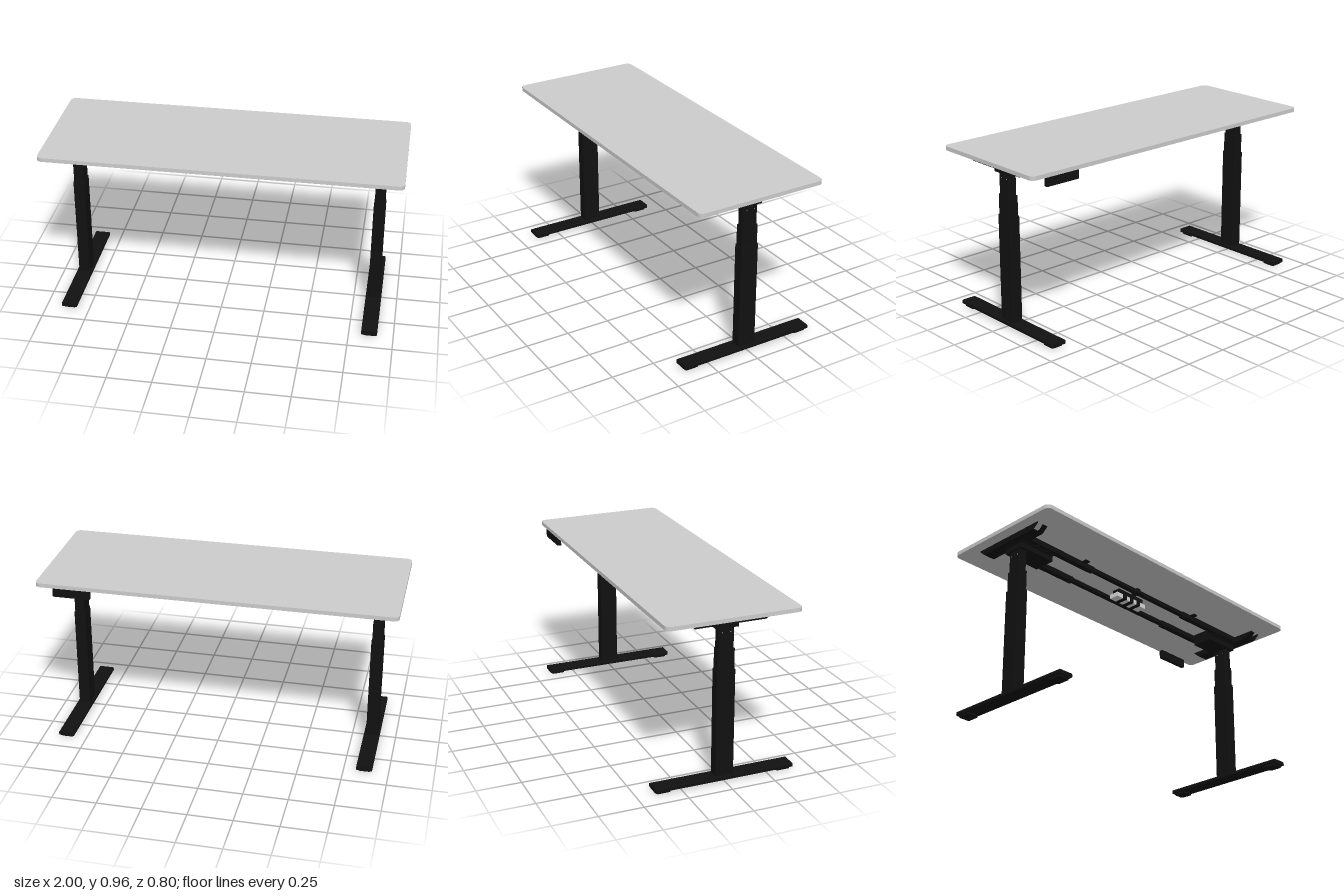
import * as THREE from 'three';

const mat = (name, color) => {
  const m = new THREE.MeshStandardMaterial({ color });
  m.name = name;
  return m;
};

// Rounded rectangle centred on the origin
function roundedRect(w, h, r) {
  const s = new THREE.Shape(), x = w / 2, y = h / 2;
  s.moveTo(-x + r, -y);
  s.lineTo(x - r, -y);
  s.absarc(x - r, -y + r, r, -Math.PI / 2, 0);
  s.absarc(x - r, y - r, r, 0, Math.PI / 2);
  s.absarc(-x + r, y - r, r, Math.PI / 2, Math.PI);
  s.absarc(-x + r, -y + r, r, Math.PI, Math.PI * 1.5);
  return s;
}

// Upright prism with a rounded plan, from y0 to y1
function prism(w, d, r, y0, y1) {
  const g = new THREE.ExtrudeGeometry(roundedRect(w, d, r), { depth: y1 - y0, bevelEnabled: false, curveSegments: 6 });
  return g.rotateX(-Math.PI / 2).translate(0, y0, 0);
}

export function createModel() {
  const desk = new THREE.Group();
  desk.name = 'standingDesk';
  const top = mat('lightGreyTop', 0xcccccc);
  const black = mat('blackMetal', 0x111111);
  const pale = mat('paleGrey', 0xdcdcdc);

  const add = (name, geometry, material, parent = desk) => {
    const m = new THREE.Mesh(geometry, material);
    m.name = name;
    parent.add(m);
    return m;
  };
  // Box given by its limits on each axis
  const box = (name, x0, x1, y0, y1, z0, z1, parent = desk, material = black) =>
    add(name, new THREE.BoxGeometry(x1 - x0, y1 - y0, z1 - z0)
      .translate((x0 + x1) / 2, (y0 + y1) / 2, (z0 + z1) / 2), material, parent);

  add('tabletop', prism(2, 0.76, 0.03, 0.942, 0.965), top);

  // Sloped-end side plate of the support arm
  const armShape = new THREE.Shape([[-0.235, 0.942], [-0.235, 0.938], [-0.2, 0.908], [0.2, 0.908], [0.235, 0.938], [0.235, 0.942]]
    .map(([z, y]) => new THREE.Vector2(z, y)));

  for (const side of [1, -1]) {
    const leg = new THREE.Group();
    leg.name = side > 0 ? 'leftLeg' : 'rightLeg';
    desk.add(leg);
    const cx = side * 0.865;
    const sbox = (name, a, b, ...rest) => box(name, Math.min(side * a, side * b), Math.max(side * a, side * b), ...rest, leg);

    // Foot bar with rounded edges, and its glides
    const foot = new THREE.ExtrudeGeometry(roundedRect(0.09, 0.023, 0.006), { depth: 0.8, bevelEnabled: false, curveSegments: 4 });
    add('foot', foot.translate(cx, 0.0215, -0.4), black, leg);
    for (const z of [-0.35, 0.35]) add('footPad', prism(0.07, 0.08, 0.01, 0, 0.012).translate(cx, 0, z), black, leg);

    // Three telescoping column stages
    [[0.066, 0.104, 0.03, 0.635], [0.058, 0.096, 0.63, 0.75], [0.048, 0.087, 0.74, 0.885]].forEach(([w, d, y0, y1]) =>
      add('columnStage', prism(w, d, 0.007, y0, y1).translate(cx, 0, 0), black, leg));

    // Fixing screws on both faces of the upper stage
    for (const z of [-0.023, 0.023]) for (const dx of [-0.024, 0.024]) {
      const screw = new THREE.CylinderGeometry(0.0025, 0.0025, 0.002, 10).rotateZ(Math.PI / 2);
      add('screw', screw.translate(cx + dx, 0.845, z), pale, leg);
    }

    // Motor housing and bracket under the frame
    sbox('motorHousing', 0.67, 0.9, 0.872, 0.906, -0.064, 0.064);
    sbox('headBracket', 0.67, 0.91, 0.904, 0.94, -0.075, 0.075);

    // Support arm: open channel with sloped ends
    for (const x of [0.938, 0.872]) {
      const plate = new THREE.ExtrudeGeometry(armShape, { depth: 0.004, bevelEnabled: false });
      add('armSidePlate', plate.rotateY(-Math.PI / 2).translate(side * x + 0.002, 0, 0), black, leg);
    }
    sbox('armBottom', 0.87, 0.94, 0.908, 0.912, -0.2, 0.2);
    for (const end of [-1, 1]) {
      const slope = new THREE.BoxGeometry(0.03, 0.004, 0.046).rotateX(-end * 0.71);
      add('armSlope', slope.translate(side * 0.886, 0.925, end * 0.217), black, leg);
    }

    // Outer rail sleeves, tabs and bolts
    for (const z of [-0.085, 0.085]) {
      const out = Math.sign(z) * 0.03;
      sbox('railSleeve', 0.38, 0.87, 0.91, 0.941, z - 0.016, z + 0.016);
      sbox('railTab', 0.445, 0.475, 0.934, 0.941, z + out - 0.016, z + out + 0.016);
      for (const x of [0.72, 0.8]) add('railBolt', new THREE.CylinderGeometry(0.01, 0.01, 0.006, 12)
        .translate(side * x, 0.907, z), black, leg);
    }
  }

  // Inner rails
  for (const z of [-0.085, 0.085]) box('innerRail', -0.4, 0.4, 0.916, 0.938, z - 0.013, z + 0.013);
  box('centreClip', -0.03, 0, 0.914, 0.942, 0.06, 0.105);

  // Control box with three cable plugs
  box('controlBox', -0.117, 0.117, 0.886, 0.912, -0.03, 0.03, desk, pale);
  box('controlBoxMount', -0.1, 0.1, 0.912, 0.942, -0.025, 0.025);
  for (const x of [-0.057, 0, 0.055]) box('cablePlug', x - 0.013, x + 0.013, 0.884, 0.913, -0.045, 0.035);

  // Hand control under the rear edge
  box('handControl', 0.69, 0.9, 0.89, 0.942, -0.375, -0.352);

  return desk;
}
